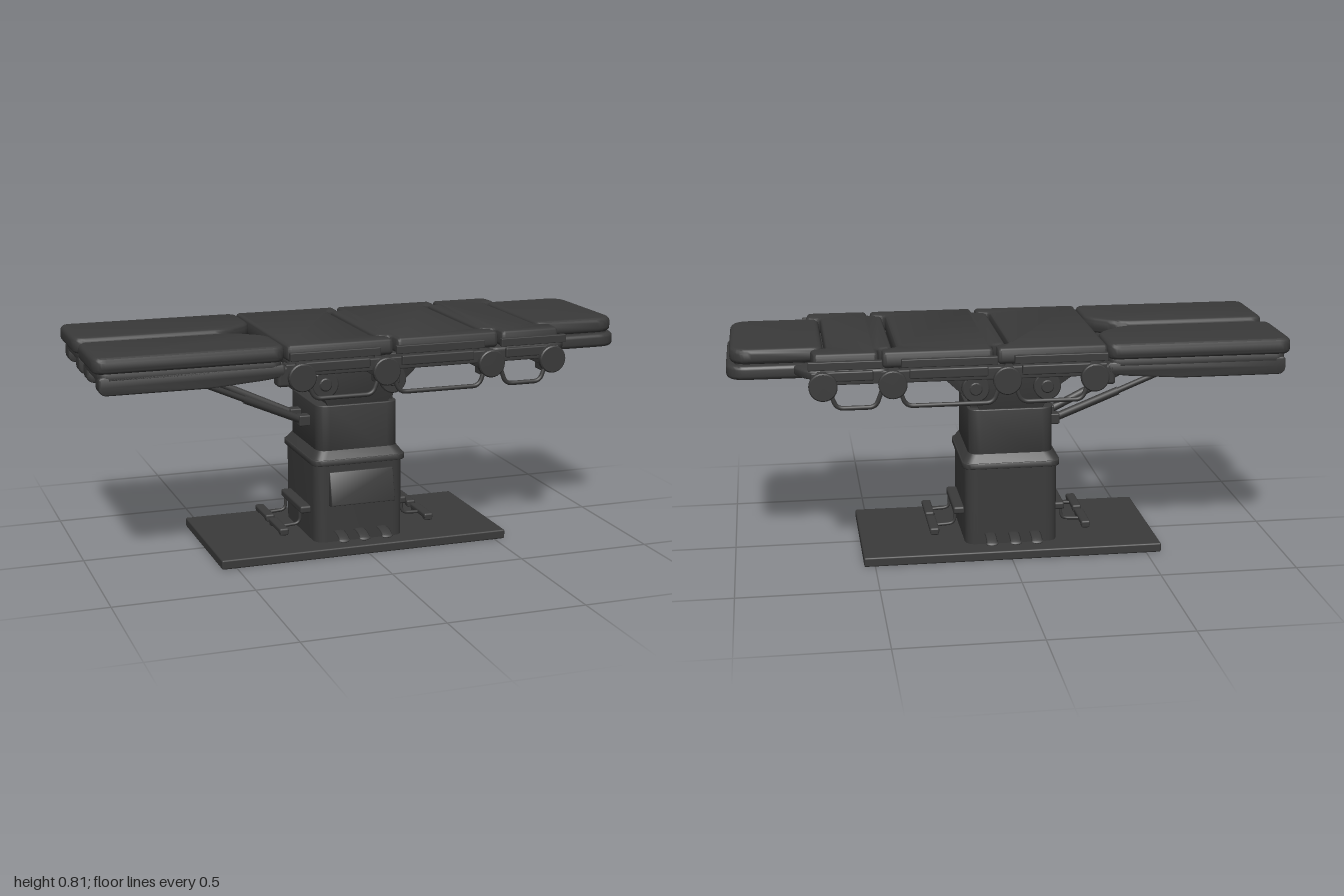
import * as THREE from 'three';
import { toCreasedNormals } from 'three/addons/utils/BufferGeometryUtils.js';
import { RoundedBoxGeometry } from 'three/addons/geometries/RoundedBoxGeometry.js';

const mat = new THREE.MeshStandardMaterial({ color: 0x3a3a3a });
const V = (x, y, z) => new THREE.Vector3(x, y, z);

export function createModel() {
  const root = new THREE.Group();

  function add(name, geo) {
    const m = new THREE.Mesh(geo, mat);
    m.name = name;
    root.add(m);
    return m;
  }

  // Closed 2D outline with every corner rounded by radius r
  function outline(pts, r) {
    const s = new THREE.Shape();
    const P = pts.map(p => new THREE.Vector2(p[0], p[1]));
    P.forEach((p, i) => {
      const toward = q => {
        const d = q.clone().sub(p);
        return p.clone().addScaledVector(d.clone().normalize(), Math.min(r, d.length() * 0.45));
      };
      const a = toward(P[(i + P.length - 1) % P.length]);
      const b = toward(P[(i + 1) % P.length]);
      if (i === 0) s.moveTo(a.x, a.y); else s.lineTo(a.x, a.y);
      s.quadraticCurveTo(p.x, p.y, b.x, b.y);
    });
    s.closePath();
    return s;
  }

  function extrude(pts, r, depth, bevel) {
    return new THREE.ExtrudeGeometry(outline(pts, r), {
      depth: depth - 2 * bevel, bevelEnabled: bevel > 0, bevelThickness: bevel,
      bevelSize: bevel, bevelOffset: -bevel, bevelSegments: 4, curveSegments: 6,
    }).translate(0, 0, bevel);
  }

  // Horizontal slab with an outline in x,z between heights y0 and y1
  function slab(name, pts, y0, y1, r, bevel) {
    const g = extrude(pts.map(([x, z]) => [x, -z]), r, y1 - y0, bevel);
    g.rotateX(-Math.PI / 2).translate(0, y0, 0);
    return add(name, toCreasedNormals(g, 0.6));
  }

  // Upright plate with an outline in x,y between depths z0 and z1
  function plate(name, pts, z0, z1, r = 0.01, bevel = 0.003) {
    const g = extrude(pts, r, z1 - z0, bevel).translate(0, 0, z0);
    return add(name, toCreasedNormals(g, 0.6));
  }

  const rect = (x0, x1, z0, z1) => [[x0, z0], [x1, z0], [x1, z1], [x0, z1]];

  function box(name, x0, x1, y0, y1, z0, z1, r = 0.005) {
    const g = new RoundedBoxGeometry(x1 - x0, y1 - y0, z1 - z0, 2, r);
    return add(name, g.translate((x0 + x1) / 2, (y0 + y1) / 2, (z0 + z1) / 2));
  }

  function disc(name, x, y, z, r, depth) {
    const pts = [[0, -depth / 2], [r - 0.004, -depth / 2], [r, -depth / 2 + 0.004],
      [r, depth / 2 - 0.004], [r - 0.004, depth / 2], [0, depth / 2]];
    const g = new THREE.LatheGeometry(pts.map(p => new THREE.Vector2(...p)), 28);
    return add(name, toCreasedNormals(g.rotateX(Math.PI / 2).translate(x, y, z), 0.5));
  }

  // Tube along straight runs with rounded bends
  function rod(name, pts, r, bend = 0.025) {
    const path = new THREE.CurvePath();
    let last = pts[0];
    for (let i = 1; i < pts.length - 1; i++) {
      const p = pts[i];
      const a = p.clone().add(pts[i - 1].clone().sub(p).setLength(bend));
      const b = p.clone().add(pts[i + 1].clone().sub(p).setLength(bend));
      path.add(new THREE.LineCurve3(last, a));
      path.add(new THREE.QuadraticBezierCurve3(a, p, b));
      last = b;
    }
    path.add(new THREE.LineCurve3(last, pts[pts.length - 1]));
    return add(name, new THREE.TubeGeometry(path, pts.length > 2 ? 60 : 1, r, 10));
  }

  // Base and telescopic column
  box('basePlate', -0.555, 0.54, 0, 0.035, -0.275, 0.265, 0.006);
  slab('lowerColumn', rect(-0.18, 0.16, -0.19, 0.19), 0.035, 0.33, 0.045, 0);
  slab('columnCollar', rect(-0.19, 0.17, -0.197, 0.197), 0.325, 0.347, 0.045, 0.003);
  const taper = slab('collarTaper', rect(-0.188, 0.168, -0.195, 0.195), 0.345, 0.376, 0.045, 0);
  const tp = taper.geometry.attributes.position;
  for (let i = 0; i < tp.count; i++) {
    if (tp.getY(i) > 0.36) tp.setXYZ(i, -0.01 + (tp.getX(i) + 0.01) * 0.87, tp.getY(i), tp.getZ(i) * 0.89);
  }
  taper.geometry = toCreasedNormals(taper.geometry, 0.6);
  slab('upperColumn', rect(-0.165, 0.145, -0.173, 0.173), 0.35, 0.543, 0.045, 0.004);

  // Sloped control panel on the column front
  const panel = extrude([[0.18, 0.17], [0.223, 0.18], [0.196, 0.3], [0.18, 0.3]], 0.004, 0.245, 0.003);
  panel.rotateY(-Math.PI / 2).translate(0.115, 0, 0);
  add('controlPanel', toCreasedNormals(panel, 0.6));

  // Tilting head on top of the column
  plate('tiltHead', [[-0.12, 0.53], [0.13, 0.53], [0.14, 0.57], [0.23, 0.655], [0.23, 0.74],
    [-0.25, 0.74], [-0.25, 0.655], [-0.13, 0.57]], -0.135, 0.135);

  for (const s of [-1, 1]) {
    // Pivot brackets beside the tilting head
    plate('pivotBracket', [[-0.12, 0.53], [0.1, 0.53], [0.16, 0.65], [0.16, 0.7], [-0.18, 0.7], [-0.18, 0.65]],
      s * 0.158 - 0.008, s * 0.158 + 0.008);
    for (const x of [-0.14, 0.12]) {
      disc('pivotDisc', x, 0.625, s * 0.168, 0.05, 0.034);
      disc('pivotCap', x, 0.625, s * 0.183, 0.024, 0.014);
    }

    // Small curved pedals on both long sides of the base
    for (const x of [-0.094, -0.015, 0.072]) {
      const arc = new THREE.QuadraticBezierCurve3(V(0, 0.074, s * 0.185), V(0, 0.078, s * 0.23), V(0, 0.06, s * 0.258));
      add('sidePedal', new THREE.TubeGeometry(arc, 12, 0.004, 10).scale(5, 1, 1).translate(x, 0, 0));
      const tip = new THREE.SphereGeometry(1, 14, 10).scale(0.022, 0.005, 0.012);
      add('sidePedalTip', tip.rotateX(s * 0.55).translate(x, 0.06, s * 0.256));
    }

    // Foot bar and paired treadles at each column end
    const X = d => -0.01 + s * d;
    const span = (a, b) => [Math.min(X(a), X(b)), Math.max(X(a), X(b))];
    box('footBar', ...span(0.165, 0.208), 0.132, 0.16, -0.125, 0.125, 0.008);
    for (const t of [-1, 1]) {
      const z = t * 0.09;
      rod('treadleArm', [V(X(0.2), 0.15, z), V(X(0.2), 0.087, z), V(X(0.29), 0.082, z)], 0.006);
      box('treadle', ...span(0.265, 0.3), 0.076, 0.096, z - 0.075, z + 0.075, 0.007);
      for (const e of [-1, 1]) {
        box('treadleEnd', ...span(0.267, 0.298), 0.069, 0.09, z + e * 0.06 - 0.015, z + e * 0.06 + 0.015, 0.006);
      }
    }

    // Leg sections: cushion, channel board, hinge arm and gas strut
    const leg = (x0, x1, a, b, c) => [[x0, s * a], [-0.44, s * a], [x1, s * c], [x1, s * b], [x0, s * b]];
    slab('legCushion', leg(-1, -0.33, 0.03, 0.335, 0.12), 0.75, 0.808, 0.045, 0.018);
    slab('legBoard', leg(-0.98, -0.34, 0.04, 0.325, 0.13), 0.722, 0.753, 0.035, 0.006);
    const side = [[-0.98, 0.69], [-0.965, 0.676], [-0.6, 0.676], [-0.4, 0.69], [-0.33, 0.7], [-0.33, 0.74], [-0.98, 0.74]];
    plate('legChannelOuter', side, s * 0.29 - 0.035, s * 0.29 + 0.035, 0.015, 0.006);
    plate('legChannelInner', side.map(([x, y]) => [Math.min(x, -0.43), y]), s * 0.075 - 0.035, s * 0.075 + 0.035, 0.015, 0.006);
    box('legHinge', -0.36, -0.27, 0.66, 0.735, s * 0.295 - 0.03, s * 0.295 + 0.03, 0.012);
    rod('legHingeArm', [V(-0.46, 0.715, s * 0.085), V(-0.3, 0.715, s * 0.2)], 0.022);
    rod('gasStrut', [V(-0.19, 0.47, s * 0.055), V(-0.42, 0.574, s * 0.09)], 0.015);
    rod('strutRod', [V(-0.4, 0.565, s * 0.087), V(-0.66, 0.685, s * 0.125)], 0.011);
    box('strutBracket', -0.205, -0.16, 0.45, 0.49, s * 0.055 - 0.022, s * 0.055 + 0.022);
    box('strutAnchor', -0.7, -0.62, 0.675, 0.73, s * 0.125 - 0.02, s * 0.125 + 0.02);

    // Side frame, accessory rails and joint discs
    box('sideFrame', -0.33, 0.71, 0.695, 0.74, s * 0.3 - 0.025, s * 0.3 + 0.025);
    for (const [a, b] of [[-0.325, 0.005], [0.065, 0.4], [0.465, 0.72]]) {
      box('accessoryRail', a, b, 0.757, 0.786, s * 0.35 - 0.01, s * 0.35 + 0.01, 0.003);
      for (const x of [a + 0.05, b - 0.05]) {
        box('railSpacer', x - 0.015, x + 0.015, 0.763, 0.78, s * 0.33 - 0.02, s * 0.33 + 0.02, 0.003);
      }
      box('lowerRail', a + 0.03, b - 0.03, 0.71, 0.745, s * 0.325 - 0.012, s * 0.325 + 0.012);
    }
    for (const x of [-0.28, 0.03, 0.43, 0.67]) {
      disc('jointDisc', x, 0.697, s * 0.349, 0.05, 0.026);
      disc('jointHub', x, 0.697, s * 0.325, 0.035, 0.04);
      box('jointBlock', x - 0.03, x + 0.03, 0.65, 0.69, s * 0.302 - 0.032, s * 0.302 + 0.032);
    }

    // Looped handles hanging below the rails
    for (const [a, b] of [[-0.25, -0.005], [0.065, 0.4], [0.475, 0.64]]) {
      const z = s * 0.346;
      rod('loopHandle', [V(a - 0.012, 0.69, z), V(a + 0.015, 0.618, z), V(b - 0.015, 0.618, z), V(b + 0.012, 0.69, z)], 0.008);
    }

    // Head section support arms
    rod('headArm', [V(0.66, 0.718, s * 0.14), V(0.9, 0.718, s * 0.14)], 0.014);
  }

  // Cross members under the top
  for (const x of [-0.28, 0.03, 0.43, 0.67]) box('crossBar', x - 0.032, x + 0.032, 0.672, 0.705, -0.33, 0.33);

  // Body sections whose middle tongues interlock
  const w = 0.335;
  const cushions = {
    seatCushion: [[-0.328, -w], [0.062, -w], [0.062, -0.268], [0.012, -0.25], [0.012, 0.25], [0.062, 0.268],
      [0.062, w], [-0.328, w]],
    backCushion: [[0.076, -w], [0.463, -w], [0.463, -0.268], [0.41, -0.25], [0.41, 0.25], [0.463, 0.268],
      [0.463, w], [0.076, w], [0.076, 0.268], [0.024, 0.25], [0.024, -0.25], [0.076, -0.268]],
    chestCushion: [[0.477, -w], [0.7, -w], [0.71, -0.25], [0.655, -0.235], [0.655, 0.235], [0.71, 0.25],
      [0.7, w], [0.477, w], [0.477, 0.268], [0.424, 0.25], [0.424, -0.25], [0.477, -0.268]],
  };
  for (const name in cushions) slab(name, cushions[name], 0.75, 0.808, 0.016, 0.014);
  slab('seatBoard', rect(-0.32, 0.005, -0.31, 0.31), 0.73, 0.753, 0.015, 0.004);
  slab('backBoard', rect(0.03, 0.405, -0.31, 0.31), 0.73, 0.753, 0.015, 0.004);
  slab('chestBoard', [[0.44, -0.325], [0.7, -0.325], [0.735, -0.3], [0.77, -0.235], [0.77, 0.235], [0.735, 0.3],
    [0.7, 0.325], [0.44, 0.325]], 0.715, 0.748, 0.03, 0.01);

  // Head section: cushion over a panel with a raised rim beneath
  slab('headCushion', [[0.662, -0.238], [0.95, -0.238], [0.987, -0.2], [0.987, 0.197], [0.95, 0.235], [0.662, 0.235]],
    0.755, 0.81, 0.04, 0.018);
  slab('headRim', [[0.72, -0.238], [0.96, -0.238], [1, -0.2], [1, 0.197], [0.96, 0.235], [0.72, 0.235],
    [0.72, 0.18], [0.92, 0.17], [0.92, -0.17], [0.72, -0.18]], 0.7, 0.75, 0.04, 0.014);
  slab('headPanel', rect(0.72, 0.97, -0.21, 0.21), 0.725, 0.762, 0.03, 0.002);

  return root;
}
